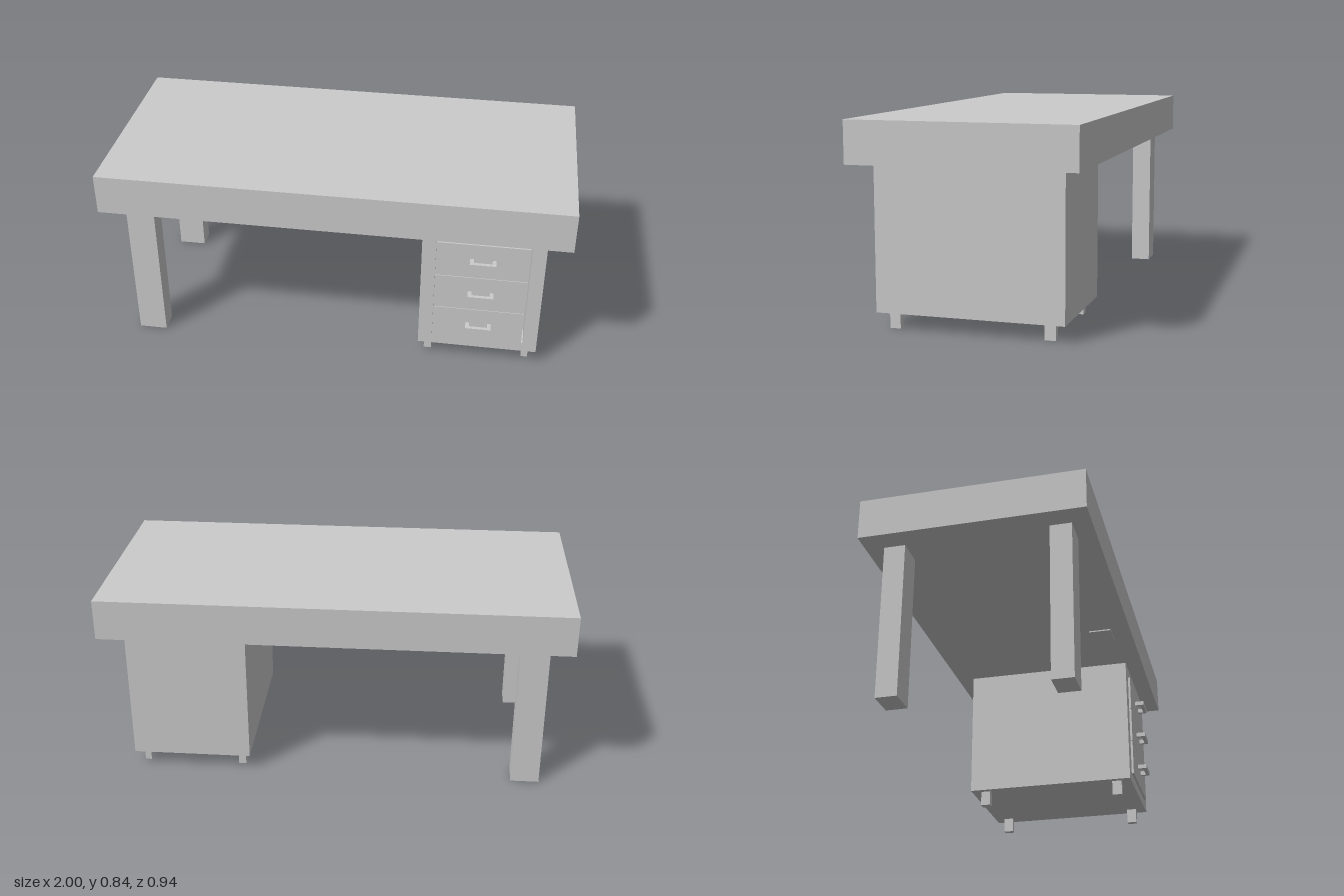
import * as THREE from 'three';

const material = new THREE.MeshStandardMaterial({ color: 0xcccccc, flatShading: true });

function add(group, name, geometry) {
  const mesh = new THREE.Mesh(geometry, material);
  mesh.name = name;
  group.add(mesh);
  return mesh;
}

// Box given by its extents along each axis
function box(group, name, [x0, x1], [y0, y1], [z0, z1]) {
  const mesh = add(group, name, new THREE.BoxGeometry(x1 - x0, y1 - y0, z1 - z0));
  mesh.position.set((x0 + x1) / 2, (y0 + y1) / 2, (z0 + z1) / 2);
  return mesh;
}

function rectangle(PathType, x0, x1, y0, y1) {
  const path = new PathType();
  path.moveTo(x0, y0);
  path.lineTo(x1, y0);
  path.lineTo(x1, y1);
  path.lineTo(x0, y1);
  path.closePath();
  return path;
}

// U-shaped pull: two posts joined by a bar, seen from above in x and z
function handleGeometry(width, depth, height, thick) {
  const w = width / 2;
  const shape = new THREE.Shape([
    [-w, 0], [-w + thick, 0], [-w + thick, depth - thick], [w - thick, depth - thick],
    [w - thick, 0], [w, 0], [w, depth], [-w, depth],
  ].map(([x, y]) => new THREE.Vector2(x, y)));
  const geometry = new THREE.ExtrudeGeometry(shape, { depth: height, bevelEnabled: false });
  geometry.rotateX(Math.PI / 2);
  return geometry.translate(0, height / 2, 0);
}

export function createModel() {
  const desk = new THREE.Group();
  desk.name = 'desk';

  box(desk, 'tabletop', [-1, 1], [0.67, 0.845], [-0.468, 0.468]);
  box(desk, 'underTopPull', [0.01, 0.12], [0.664, 0.67], [0.28, 0.38]);

  // Two tall legs on the open side
  for (const [z0, z1] of [[0.3, 0.39], [-0.39, -0.3]]) {
    box(desk, 'leg', [-0.905, -0.782], [0, 0.67], [z0, z1]);
  }

  // Drawer cabinet: solid body with a framed recess in front
  const cabinet = new THREE.Group();
  cabinet.name = 'drawerCabinet';
  desk.add(cabinet);
  const recess = 0.1;
  box(cabinet, 'cabinetBody', [0.38, 0.9], [0.068, 0.67], [-0.39, 0.39 - recess]);
  const frame = rectangle(THREE.Shape, 0.38, 0.9, 0.068, 0.67);
  frame.holes.push(rectangle(THREE.Path, 0.44, 0.84, 0.112, 0.63));
  add(cabinet, 'cabinetFrame', new THREE.ExtrudeGeometry(frame, { depth: recess, bevelEnabled: false }))
    .position.z = 0.39 - recess;

  // Drawers with pulls
  const pull = handleGeometry(0.11, 0.043, 0.02, 0.016);
  for (let i = 0; i < 3; i++) {
    const y = 0.112 + i * 0.1695;
    const drawer = new THREE.Group();
    drawer.name = 'drawer';
    cabinet.add(drawer);
    box(drawer, 'drawerFront', [0.441, 0.832], [y, y + 0.167], [0.39 - recess, 0.4]);
    add(drawer, 'drawerPull', pull).position.set(0.64, y + 0.086, 0.399);
  }

  // Short feet under the cabinet
  for (const [x0, x1] of [[0.405, 0.438], [0.84, 0.868]]) {
    for (const [z0, z1] of [[0.3, 0.345], [-0.345, -0.3]]) {
      box(cabinet, 'foot', [x0, x1], [0, 0.068], [z0, z1]);
    }
  }
  return desk;
}
